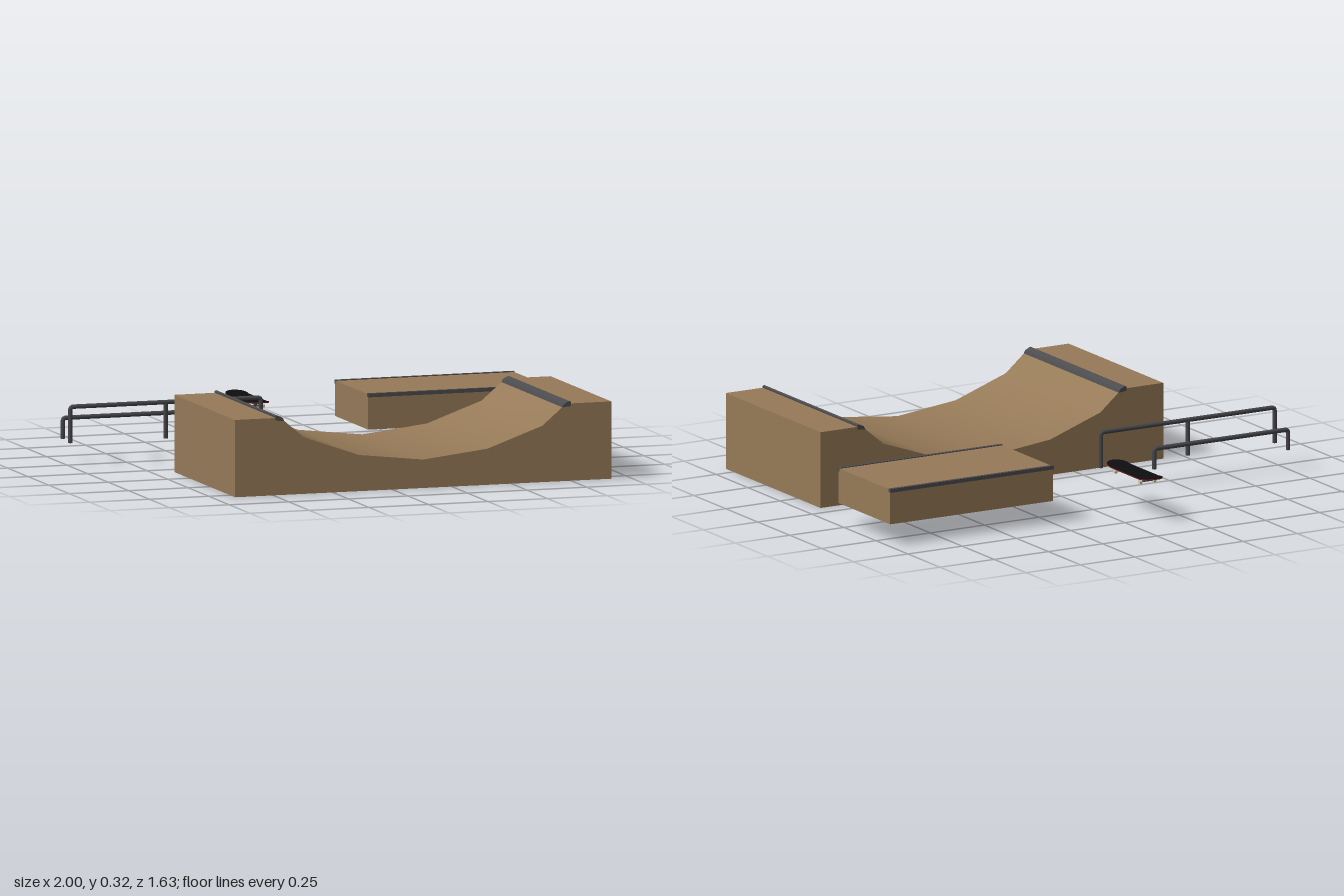
import * as THREE from 'three';
import { toCreasedNormals } from 'three/addons/utils/BufferGeometryUtils.js';

const mat = (color) => new THREE.MeshStandardMaterial({ color });
const wood = mat(0x967a58);
const steel = mat(0x4c4c4e);
const railSteel = mat(0x46464a);
const gripBlack = mat(0x0e0e10);
const red = mat(0x6e1a1a);
const cream = mat(0xd8ceb0);

function add(parent, name, geometry, material, x = 0, y = 0, z = 0) {
  const mesh = new THREE.Mesh(geometry, material);
  mesh.name = name;
  mesh.position.set(x, y, z);
  parent.add(mesh);
  return mesh;
}

function group(parent, name) {
  const g = new THREE.Group();
  g.name = name;
  parent.add(g);
  return g;
}

// Side profile in x/y, extruded along z
function slab(points, depth, crease = 0.6) {
  const shape = new THREE.Shape(points.map(([x, y]) => new THREE.Vector2(x, y)));
  const g = new THREE.ExtrudeGeometry(shape, { depth, bevelEnabled: false });
  return toCreasedNormals(g, crease);
}

// Half pipe: a symmetric profile around its own middle
function buildHalfPipe(parent) {
  const g = group(parent, 'halfPipe');
  g.position.set(0.13, 0, 0.07);
  const half = [[0.27, 0.145], [0.5, 0.226], [0.6, 0.31], [0.79, 0.31], [0.79, 0]];
  const mirrored = half.map(([x, y]) => [-x, y]).reverse();
  add(g, 'rampBody', slab([...mirrored, [0, 0.114], ...half], 0.74), wood);
  for (const s of [-1, 1]) {
    const lip = [[0.583, 0.295], [0.59, 0.309], [0.613, 0.32], [0.62, 0.317], [0.62, 0.3]];
    add(g, s < 0 ? 'rightCoping' : 'leftCoping',
      slab(lip.map(([x, y]) => [s * x, y]), 0.742), steel, 0, 0, -0.001);
  }
}

// Grind box with a steel edge along both long sides
function buildGrindBox(parent) {
  const g = group(parent, 'grindBox');
  g.position.set(0.623, 0, -0.405);
  add(g, 'boxBody', new THREE.BoxGeometry(0.75, 0.142, 0.406), wood, 0, 0.161, 0);
  for (const s of [-1, 1]) {
    add(g, s < 0 ? 'backEdge' : 'frontEdge',
      new THREE.BoxGeometry(0.752, 0.015, 0.015), steel, 0, 0.2275, s * 0.2);
  }
}

// Rail: one bent tube with capped feet
function buildRail(parent, name, x0, x1, top, z, middleLeg) {
  const g = group(parent, name);
  const r = 0.009, foot = 0.09, b = 0.014;
  const P = (x, y) => new THREE.Vector3(x, y, z);
  const path = new THREE.CurvePath();
  path.add(new THREE.LineCurve3(P(x0, foot), P(x0, top - b)));
  path.add(new THREE.QuadraticBezierCurve3(P(x0, top - b), P(x0, top), P(x0 + b, top)));
  path.add(new THREE.LineCurve3(P(x0 + b, top), P(x1 - b, top)));
  path.add(new THREE.QuadraticBezierCurve3(P(x1 - b, top), P(x1, top), P(x1, top - b)));
  path.add(new THREE.LineCurve3(P(x1, top - b), P(x1, foot)));
  add(g, 'railTube', new THREE.TubeGeometry(path, 160, r, 10), railSteel);
  for (const x of [x0, x1]) {
    add(g, 'footCap', new THREE.CircleGeometry(r, 10).rotateX(Math.PI / 2), railSteel, x, foot, z);
  }
  if (middleLeg) {
    add(g, 'middleLeg', new THREE.CylinderGeometry(r, r, top - foot, 10), railSteel,
      (x0 + x1) / 2, (top + foot) / 2, z);
  }
}

// Board layer: a box bent to a rounded outline with raised nose and tail
function boardLayer(width, thickness, length) {
  const g = new THREE.BoxGeometry(width, thickness, length, 4, 1, 32);
  const p = g.attributes.position;
  const h = length / 2, r = width / 2;
  for (let i = 0; i < p.count; i++) {
    const z = h * Math.sin((p.getZ(i) / h) * Math.PI / 2);
    const over = Math.min(1, Math.max(0, (Math.abs(z) - (h - r)) / r));
    const w = Math.max(0.02, Math.sqrt(1 - over * over));
    const lift = Math.max(0, Math.abs(z) - 0.11) * 0.13;
    p.setXYZ(i, p.getX(i) * w, p.getY(i) + lift, z);
  }
  g.computeVertexNormals();
  return g;
}

// Skateboard with trucks and four wheels
function buildSkateboard(parent) {
  const g = group(parent, 'skateboard');
  g.position.set(-0.108, 0, -0.643);
  add(g, 'deck', boardLayer(0.088, 0.005, 0.346), red, 0, 0.1705, 0);
  add(g, 'gripTape', boardLayer(0.089, 0.002, 0.348), gripBlack, 0, 0.174, 0);
  for (const s of [-1, 1]) {
    const truck = group(g, s < 0 ? 'backTruck' : 'frontTruck');
    truck.position.z = s * 0.098;
    add(truck, 'basePlate', new THREE.BoxGeometry(0.024, 0.004, 0.042), steel, 0, 0.166, 0);
    add(truck, 'hanger', new THREE.CylinderGeometry(0.009, 0.005, 0.012, 8), steel, 0, 0.16, 0);
    add(truck, 'axle', new THREE.CylinderGeometry(0.003, 0.003, 0.07, 8).rotateZ(Math.PI / 2),
      steel, 0, 0.156, 0);
    for (const side of [-1, 1]) {
      add(truck, 'wheel', new THREE.CylinderGeometry(0.009, 0.009, 0.012, 14).rotateZ(Math.PI / 2),
        cream, side * 0.032, 0.156, 0);
    }
  }
}

export function createModel() {
  const model = new THREE.Group();
  model.name = 'skatePark';
  buildHalfPipe(model);
  buildGrindBox(model);
  buildRail(model, 'tallRail', -0.99, -0.19, 0.235, -0.24, true);
  buildRail(model, 'lowRail', -0.978, -0.362, 0.173, -0.365, false);
  buildSkateboard(model);
  return model;
}
